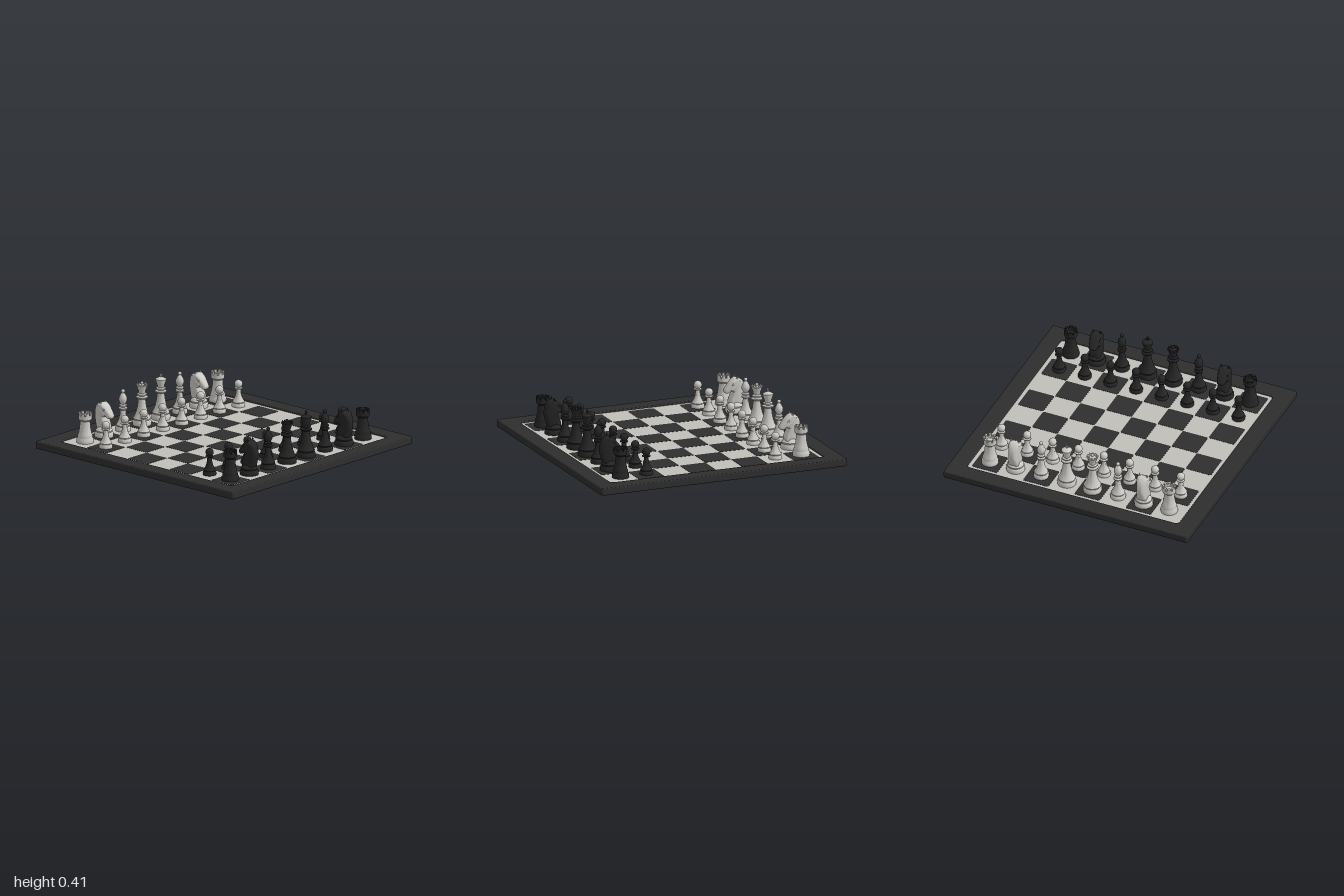
import * as THREE from 'three';
import { mergeGeometries, toCreasedNormals } from 'three/addons/utils/BufferGeometryUtils.js';

const PITCH = 0.21, FLOOR = 0.056;

const mat = (name, color) => Object.assign(new THREE.MeshStandardMaterial({ color }), { name });

function mesh(name, geometry, material, x = 0, y = 0, z = 0) {
  const m = new THREE.Mesh(geometry, material);
  m.name = name;
  m.position.set(x, y, z);
  return m;
}

// Rounded square of half size h and corner radius r
function roundedSquare(h, r, Type = THREE.Shape) {
  const s = new Type();
  s.absarc(h - r, h - r, r, 0, Math.PI / 2);
  s.absarc(-h + r, h - r, r, Math.PI / 2, Math.PI);
  s.absarc(-h + r, -h + r, r, Math.PI, Math.PI * 1.5);
  s.absarc(h - r, -h + r, r, Math.PI * 1.5, Math.PI * 2);
  s.closePath();
  return s;
}

// Horizontal slab standing on y = 0
const slab = (shape, depth, options = {}) =>
  new THREE.ExtrudeGeometry(shape, { depth, bevelEnabled: false, curveSegments: 6, ...options }).rotateX(-Math.PI / 2);

// Turned body from [radius, height] pairs
const turned = (pairs) => toCreasedNormals(
  new THREE.LatheGeometry(pairs.map(([r, y]) => new THREE.Vector2(r, y)), 32), 0.75);

const ball = (r, y, sy = 1) => new THREE.SphereGeometry(r, 20, 12).scale(1, sy, 1).translate(0, y, 0);

// Join the geometries of one piece
const join = (...parts) => mergeGeometries(parts.map((g) => (g.index ? g.toNonIndexed() : g)));

function pawn() {
  return join(turned([[0, 0], [0.05, 0], [0.051, 0.018], [0.044, 0.03], [0.046, 0.037], [0.038, 0.05],
    [0.026, 0.075], [0.019, 0.105], [0.017, 0.132], [0.031, 0.138], [0.031, 0.144], [0.016, 0.15], [0, 0.152]]),
  ball(0.031, 0.174));
}

function rook() {
  const body = turned([[0, 0], [0.064, 0], [0.065, 0.025], [0.056, 0.04], [0.058, 0.05], [0.05, 0.07],
    [0.042, 0.11], [0.038, 0.155], [0.038, 0.168], [0.05, 0.18], [0.051, 0.212], [0.036, 0.212], [0.036, 0.196], [0, 0.196]]);
  // Battlements
  const teeth = [];
  for (let i = 0; i < 8; i++) {
    const a = (i + 0.5) * Math.PI / 4, w = 0.27;
    const s = new THREE.Shape();
    s.absarc(0, 0, 0.051, a - w, a + w, false);
    s.absarc(0, 0, 0.036, a + w, a - w, true);
    teeth.push(slab(s, 0.019).translate(0, 0.212, 0));
  }
  return join(body, ...teeth);
}

function bishop() {
  return join(turned([[0, 0], [0.057, 0], [0.059, 0.022], [0.05, 0.036], [0.053, 0.045], [0.044, 0.06],
    [0.031, 0.09], [0.024, 0.125], [0.021, 0.16], [0.033, 0.167], [0.033, 0.176], [0.022, 0.183], [0.03, 0.192],
    [0.03, 0.198], [0.018, 0.206], [0.024, 0.216], [0.032, 0.236], [0.031, 0.254], [0.022, 0.275],
    [0.01, 0.292], [0, 0.296]]),
  ball(0.015, 0.305));
}

// Stem shared by king and queen
const royalStem = [[0, 0], [0.07, 0], [0.072, 0.025], [0.063, 0.042], [0.066, 0.052], [0.056, 0.068],
  [0.044, 0.1], [0.034, 0.14], [0.028, 0.185], [0.028, 0.2], [0.044, 0.209], [0.044, 0.217], [0.03, 0.225],
  [0.037, 0.233], [0.037, 0.239], [0.025, 0.246]];

function queen() {
  const points = [];
  for (let i = 0; i < 10; i++) {
    const a = i * Math.PI / 5;
    points.push(new THREE.ConeGeometry(0.01, 0.018, 6).translate(Math.cos(a) * 0.037, 0.315, Math.sin(a) * 0.037));
  }
  return join(turned([...royalStem, [0.028, 0.268], [0.044, 0.308], [0.034, 0.309], [0.028, 0.302],
    [0.02, 0.314], [0, 0.32]]), ball(0.012, 0.324), ...points);
}

function king() {
  return join(turned([...royalStem, [0.028, 0.265], [0.041, 0.302], [0.041, 0.308], [0.03, 0.315], [0.012, 0.324], [0, 0.326]]),
    new THREE.BoxGeometry(0.009, 0.036, 0.009).translate(0, 0.336, 0),
    new THREE.BoxGeometry(0.028, 0.009, 0.009).translate(0, 0.339, 0));
}

function knight() {
  const base = turned([[0, 0], [0.07, 0], [0.072, 0.025], [0.062, 0.04], [0.064, 0.05], [0.054, 0.066], [0.04, 0.08], [0, 0.085]]);
  // Side outline of neck and head, snout towards +z
  const curve = (list) => list.map(([x, y]) => new THREE.Vector2(x, y));
  const s = new THREE.Shape();
  s.moveTo(-0.048, 0.055);
  s.splineThru(curve([[-0.066, 0.1], [-0.08, 0.16], [-0.068, 0.222], [-0.035, 0.258], [0, 0.264]]));
  s.splineThru(curve([[0.035, 0.24], [0.07, 0.2], [0.088, 0.172], [0.08, 0.152], [0.06, 0.15], [0.035, 0.165], [0.02, 0.158]]));
  s.splineThru(curve([[0.03, 0.13], [0.044, 0.095], [0.048, 0.055]]));
  s.closePath();
  const head = new THREE.ExtrudeGeometry(s, { depth: 0.036, curveSegments: 5, bevelThickness: 0.025,
    bevelSize: 0.015, bevelOffset: -0.015, bevelSegments: 4 }).translate(0, 0, -0.018).rotateY(-Math.PI / 2);
  // Slim the snout and the crest
  const p = head.attributes.position;
  for (let i = 0; i < p.count; i++) {
    const snout = THREE.MathUtils.clamp((p.getZ(i) - 0.02) / 0.07, 0, 1) * (p.getY(i) > 0.13 ? 1 : 0);
    const mane = THREE.MathUtils.clamp((-p.getZ(i) - 0.03) / 0.05, 0, 1);
    p.setX(i, p.getX(i) * (1 - 0.4 * snout - 0.5 * mane));
  }
  const extras = [];
  for (const side of [-1, 1]) {
    extras.push(new THREE.ConeGeometry(0.016, 0.055, 10).rotateZ(-side * 0.12).translate(side * 0.029, 0.26, -0.008));
    extras.push(new THREE.SphereGeometry(0.008, 10, 8).translate(side * 0.037, 0.218, 0.03));
  }
  return join(base, toCreasedNormals(head, 0.9), ...extras);
}

export function createModel() {
  const model = new THREE.Group();
  model.name = 'chessSet';
  const frameMat = mat('charcoal frame', 0x2e2e2e);
  const darkMat = mat('dark square', 0x2f2f2f);
  const lightMat = mat('light square', 0xc1bfb9);
  const blackMat = mat('black piece', 0x252525);
  const whiteMat = mat('white piece', 0xcccac5);

  // Board
  const board = new THREE.Group();
  board.name = 'board';
  const rim = roundedSquare(1, 0.015);
  rim.holes.push(roundedSquare(0.868, 0.03, THREE.Path));
  board.add(mesh('frame', slab(rim, 0.041, { bevelEnabled: true, bevelThickness: 0.008, bevelSize: 0.008,
    bevelOffset: -0.008, bevelSegments: 3 }), frameMat, 0, 0.018));
  board.add(mesh('underside', new THREE.BoxGeometry(1.97, 0.02, 1.97), frameMat, 0, 0.02));
  board.add(mesh('playingSurface', slab(roundedSquare(0.877, 0.03), 0.025), lightMat, 0, 0.0295));
  for (const x of [-0.92, 0.92]) for (const z of [-0.92, 0.92]) {
    board.add(mesh('foot', new THREE.CylinderGeometry(0.035, 0.032, 0.014, 24), frameMat, x, 0.007, z));
  }
  const tile = slab(roundedSquare(0.104, 0.012), 0.0025);
  for (let row = 0; row < 8; row++) for (let col = 0; col < 8; col++) {
    if ((row + col) % 2) board.add(mesh('darkSquare', tile, darkMat, (col - 3.5) * PITCH, 0.0535, (row - 3.5) * PITCH));
  }
  model.add(board);

  // Pieces, both sides facing the middle
  const shapes = { pawn: pawn(), rook: rook(), knight: knight(), bishop: bishop(), queen: queen(), king: king() };
  const order = ['rook', 'knight', 'bishop', 'queen', 'king', 'bishop', 'knight', 'rook'];
  for (const [side, material, dir] of [['white', whiteMat, -1], ['black', blackMat, 1]]) {
    const army = new THREE.Group();
    army.name = side + 'Pieces';
    order.forEach((kind, i) => {
      const x = (i - 3.5) * PITCH;
      const back = mesh(kind, shapes[kind], material, x, FLOOR, dir * 3.5 * PITCH);
      back.rotation.y = dir > 0 ? Math.PI : 0;
      army.add(back, mesh('pawn', shapes.pawn, material, x, FLOOR, dir * 2.5 * PITCH));
    });
    model.add(army);
  }
  return model;
}
